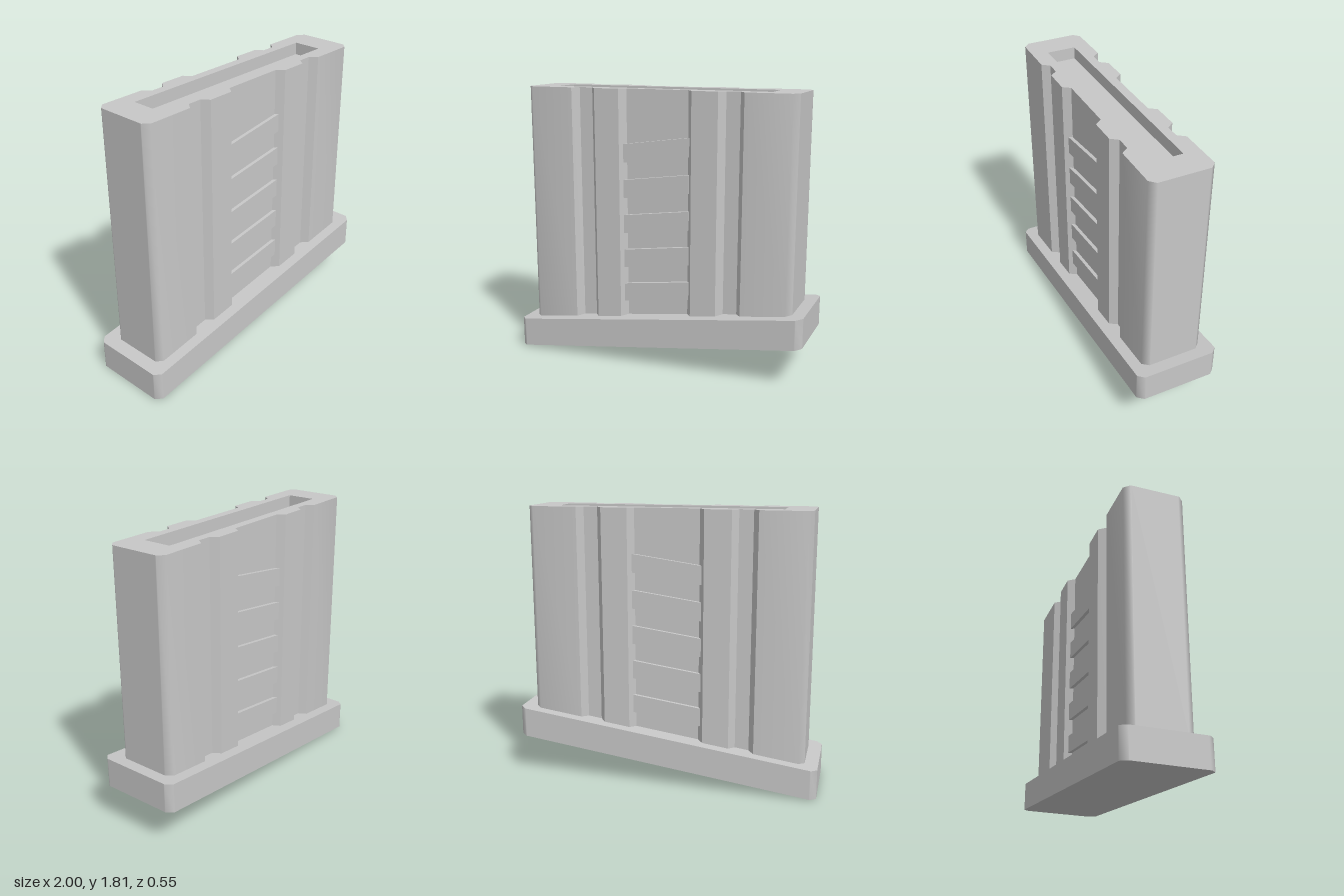
import * as THREE from 'three';
import { toCreasedNormals } from 'three/addons/utils/BufferGeometryUtils.js';

const SLOPE = 0.136; // rise of the slanted base per unit of x
const slant = (y0) => (x) => y0 + SLOPE * (x + 1);

// Chamfered outline; half is the list of points between the two corners of one long side.
// Extra points next to each chamfer keep its soft shading narrow.
function outline(w, d, c, half = []) {
  const e = 0.006;
  const side = [
    [w, d - c - e], [w, d - c], [w - c, d], [w - c - e, d],
    ...half,
    [-w + c + e, d], [-w + c, d], [-w, d - c], [-w, d - c - e],
  ];
  const all = [...side, ...side.map(([x, y]) => [-x, -y])];
  return new THREE.Shape(all.map(([x, y]) => new THREE.Vector2(x, y)));
}

// Upright prism whose lower and upper ends follow a height rule in x
function prism(shape, bottom, top) {
  const geo = new THREE.ExtrudeGeometry(shape, { depth: 1, bevelEnabled: false });
  geo.rotateX(-Math.PI / 2);
  const p = geo.attributes.position;
  for (let i = 0; i < p.count; i++) {
    const x = p.getX(i);
    p.setY(i, p.getY(i) < 0.5 ? bottom(x) : top(x));
  }
  return toCreasedNormals(geo, 0.84);
}

export function createModel() {
  const group = new THREE.Group();
  const grey = new THREE.MeshStandardMaterial({ color: 0xc7c7c7 });
  grey.name = 'lightGrey';
  const add = (name, geo) => {
    const mesh = new THREE.Mesh(geo, grey);
    mesh.name = name;
    group.add(mesh);
    return mesh;
  };

  const TOP = 1.812, FACE = 0.2, RECESS = 0.153;

  // Slanted base plate
  add('basePlate', prism(outline(1, 0.273, 0.038), slant(0), slant(0.195)));

  // Body with two narrow channels and a wide central recess on each broad side
  const right = [[0.585, FACE], [0.548, RECESS], [0.457, RECESS], [0.42, FACE], [0.248, FACE], [0.212, RECESS]];
  const left = right.map(([x, y]) => [-x, y]).reverse();
  const bodyShape = outline(0.914, FACE, 0.037, [...right, ...left]);
  const hw = 0.73, hd = 0.094;
  bodyShape.holes.push(new THREE.Path([
    new THREE.Vector2(-hw, -hd), new THREE.Vector2(-hw, hd),
    new THREE.Vector2(hw, hd), new THREE.Vector2(hw, -hd),
  ]));
  add('body', prism(bodyShape, slant(0.18), () => TOP));

  // Floor of the shallow top opening
  const floor = new THREE.PlaneGeometry(hw * 2, hd * 2);
  floor.rotateX(-Math.PI / 2);
  add('openingFloor', floor).position.y = TOP - 0.08;

  // Slanted grip ribs in both central recesses
  const ribDepth = 0.04;
  const rib = new THREE.BoxGeometry(0.454, 0.12, ribDepth);
  rib.applyMatrix4(new THREE.Matrix4().makeShear(SLOPE, 0, 0, 0, 0, 0));
  rib.computeVertexNormals();
  for (const s of [1, -1]) {
    for (let i = 0; i < 5; i++) {
      const mesh = add(s > 0 ? 'frontRib' : 'backRib', rib);
      mesh.position.set(-0.002, 0.494 + i * 0.234, s * (0.176 - ribDepth / 2));
    }
  }

  return group;
}
